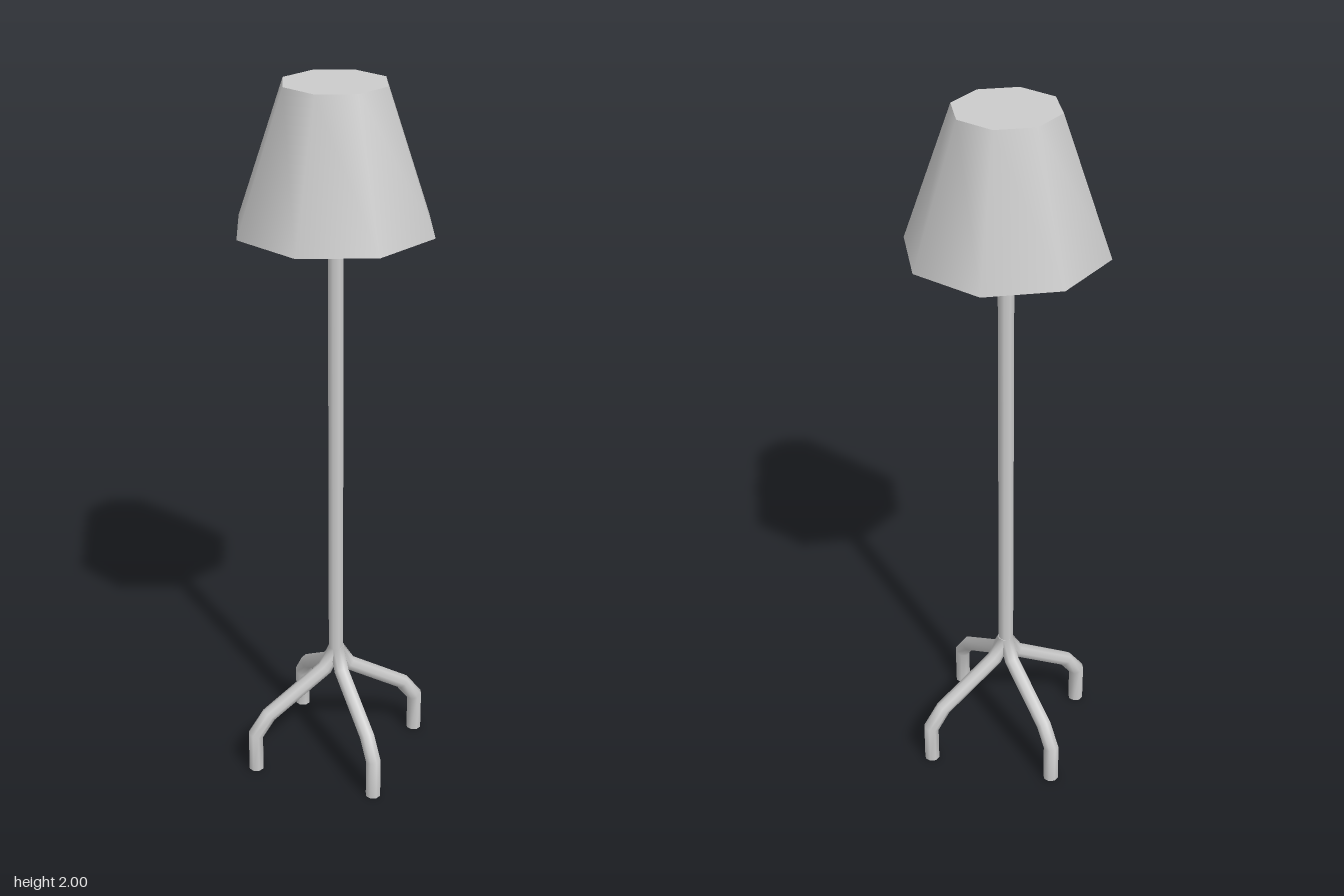
import * as THREE from 'three';

const SIDES = 8;
const TUBE_R = 0.022;
const material = new THREE.MeshStandardMaterial({ color: 0xcccccc });

function addMesh(parent, name, geometry) {
  const mesh = new THREE.Mesh(geometry, material);
  mesh.name = name;
  parent.add(mesh);
  return mesh;
}

// Bent tube in the xy plane: each ring of a cylinder is moved to a path point and mitred
function bentTube(path, radius) {
  const rows = path.length - 1;
  const geometry = new THREE.CylinderGeometry(radius, radius, 1, SIDES, rows);
  const pos = geometry.attributes.position;
  const nor = geometry.attributes.normal;
  const dirs = path.slice(1).map((p, i) => path[i].clone().sub(p).normalize());
  const frames = path.map((p, i) => {
    if (i === 0) return { up: new THREE.Vector2(0, 1), stretch: 1 };
    if (i === rows) return { up: dirs[rows - 1], stretch: 1 };
    const up = dirs[i - 1].clone().add(dirs[i]).normalize();
    return { up, stretch: 1 / up.dot(dirs[i]) };
  });
  for (let i = 0; i < pos.count; i++) {
    const row = Math.round((0.5 - pos.getY(i)) * rows);
    const { up, stretch } = frames[row];
    const x = pos.getX(i) * stretch;
    pos.setXYZ(i, path[row].x + up.y * x, path[row].y - up.x * x, pos.getZ(i));
    const nx = nor.getX(i), ny = nor.getY(i);
    nor.setXYZ(i, up.y * nx + up.x * ny, -up.x * nx + up.y * ny, nor.getZ(i));
  }
  return geometry;
}

export function createModel() {
  const model = new THREE.Group();
  model.name = 'floorLamp';

  // Four bent legs meeting at the pole
  const legPath = [[0, 0.355], [0.037, 0.287], [0.215, 0.172], [0.257, 0.115], [0.257, 0]]
    .map(([x, y]) => new THREE.Vector2(x, y));
  const legGeometry = bentTube(legPath, TUBE_R);
  const legs = new THREE.Group();
  legs.name = 'legs';
  model.add(legs);
  for (let i = 0; i < 4; i++) {
    addMesh(legs, 'leg', legGeometry).rotation.y = i * Math.PI / 2;
  }

  // Upright pole running up into the shade
  const poleBottom = 0.345, poleTop = 1.98;
  const pole = addMesh(model, 'pole',
    new THREE.CylinderGeometry(TUBE_R, TUBE_R, poleTop - poleBottom, SIDES));
  pole.position.set(-0.002, (poleBottom + poleTop) / 2, 0);

  // Eight-sided shade: inner wall, bottom rim and outer wall in one profile
  const shade = new THREE.Group();
  shade.name = 'shade';
  shade.position.x = -0.004;
  model.add(shade);
  const profile = [[0.13, 1.985], [0.257, 1.627], [0.272, 1.625], [0.141, 2]]
    .map(([r, y]) => new THREE.Vector2(r, y));
  addMesh(shade, 'shadeWall', new THREE.LatheGeometry(profile, SIDES));

  // Closed top of the shade, outside and inside
  const outerCap = addMesh(shade, 'shadeTop', new THREE.CircleGeometry(0.141, SIDES));
  outerCap.rotation.x = -Math.PI / 2;
  outerCap.position.y = 2;
  const innerCap = addMesh(shade, 'shadeCeiling', new THREE.CircleGeometry(0.13, SIDES));
  innerCap.rotation.x = Math.PI / 2;
  innerCap.position.y = 1.985;

  return model;
}
